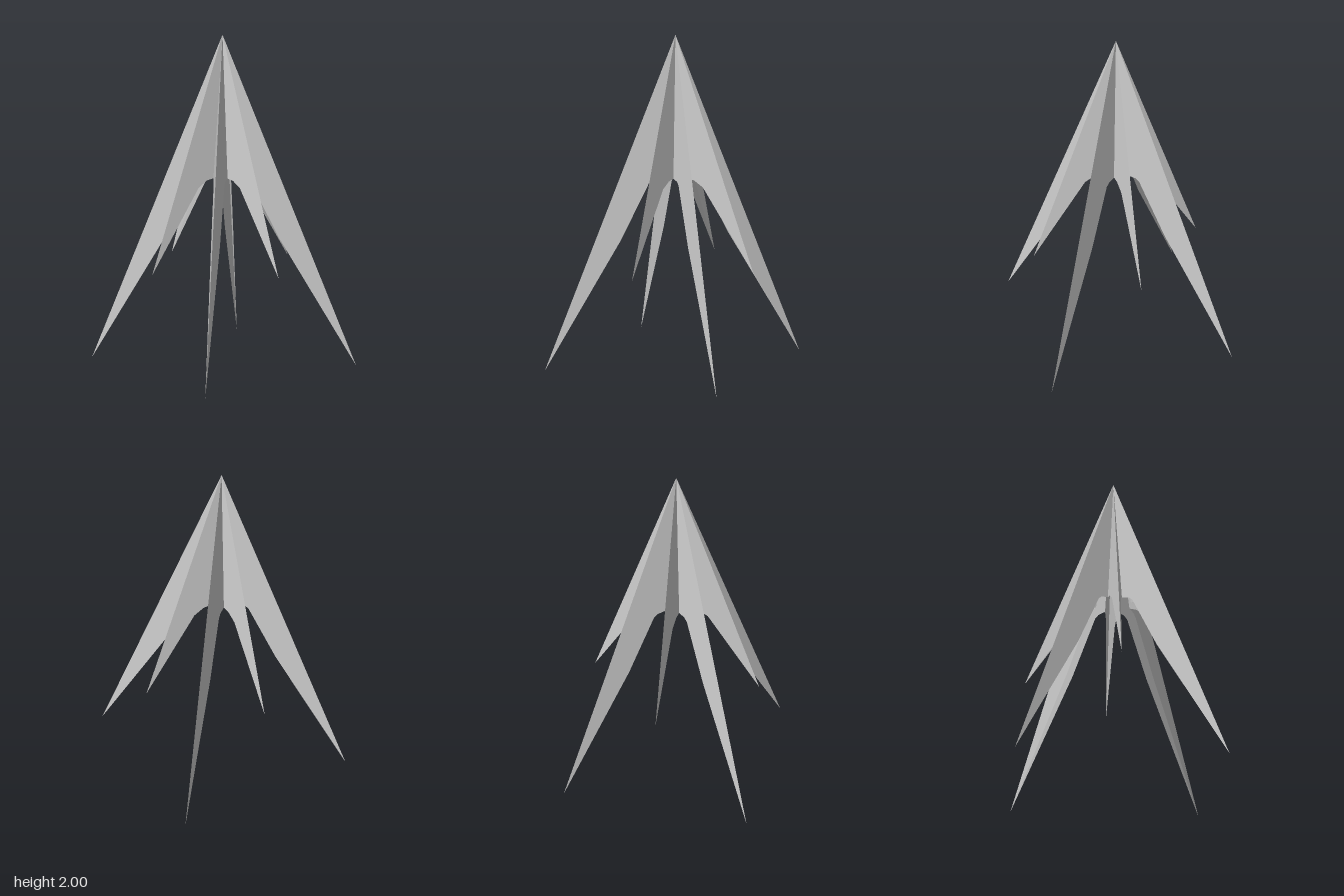
import * as THREE from 'three';

const APEX = 2; // height of the shared peak
const VALLEY_SLOPE = 0.131; // radius gained per unit of drop along a valley

// lower edge of one half blade, from valley to tip: [height, blend from ridge (0) to valley (1)]
const LONG_EDGE = [[1.15, 1], [1.14, 0.815], [1.12, 0.733], [0.78, 0.43], [0, 0]];
const SHORT_EDGE = [[1.15, 1], [1.14, 0.815], [1.1, 0.6], [0.605, 0]];

// One folded blade: two flat flanks fanning from the peak, meeting along a ridge
function blade(name, angle, ridgeSlope, edge, material) {
  const positions = [];
  for (const side of [1, -1]) {
    const valley = angle + side * Math.PI / 8;
    const points = edge.map(([y, t]) => {
      const drop = APEX - y;
      const ridgeR = ridgeSlope * drop * (1 - t);
      const valleyR = VALLEY_SLOPE * drop * t;
      return [
        ridgeR * Math.cos(angle) + valleyR * Math.cos(valley),
        y,
        ridgeR * Math.sin(angle) + valleyR * Math.sin(valley),
      ];
    });
    if (side < 0) points.reverse();
    for (let i = 0; i < points.length - 1; i++) {
      positions.push(0, APEX, 0, ...points[i], ...points[i + 1]);
    }
  }
  const geometry = new THREE.BufferGeometry();
  geometry.setAttribute('position', new THREE.Float32BufferAttribute(positions, 3));
  geometry.computeVertexNormals();
  const mesh = new THREE.Mesh(geometry, material);
  mesh.name = name;
  return mesh;
}

export function createModel() {
  const group = new THREE.Group();
  group.name = 'foldedStarSpire';
  const material = new THREE.MeshStandardMaterial({
    color: 0xcccccc, flatShading: true, side: THREE.DoubleSide,
  });

  // four long and four short blades alternate around the open shell
  for (let k = 0; k < 4; k++) {
    const turn = k * Math.PI / 2;
    group.add(blade('longBlade', turn + Math.PI * 3 / 8, 0.41, LONG_EDGE, material));
    group.add(blade('shortBlade', turn + Math.PI / 8, 0.377, SHORT_EDGE, material));
  }
  return group;
}
